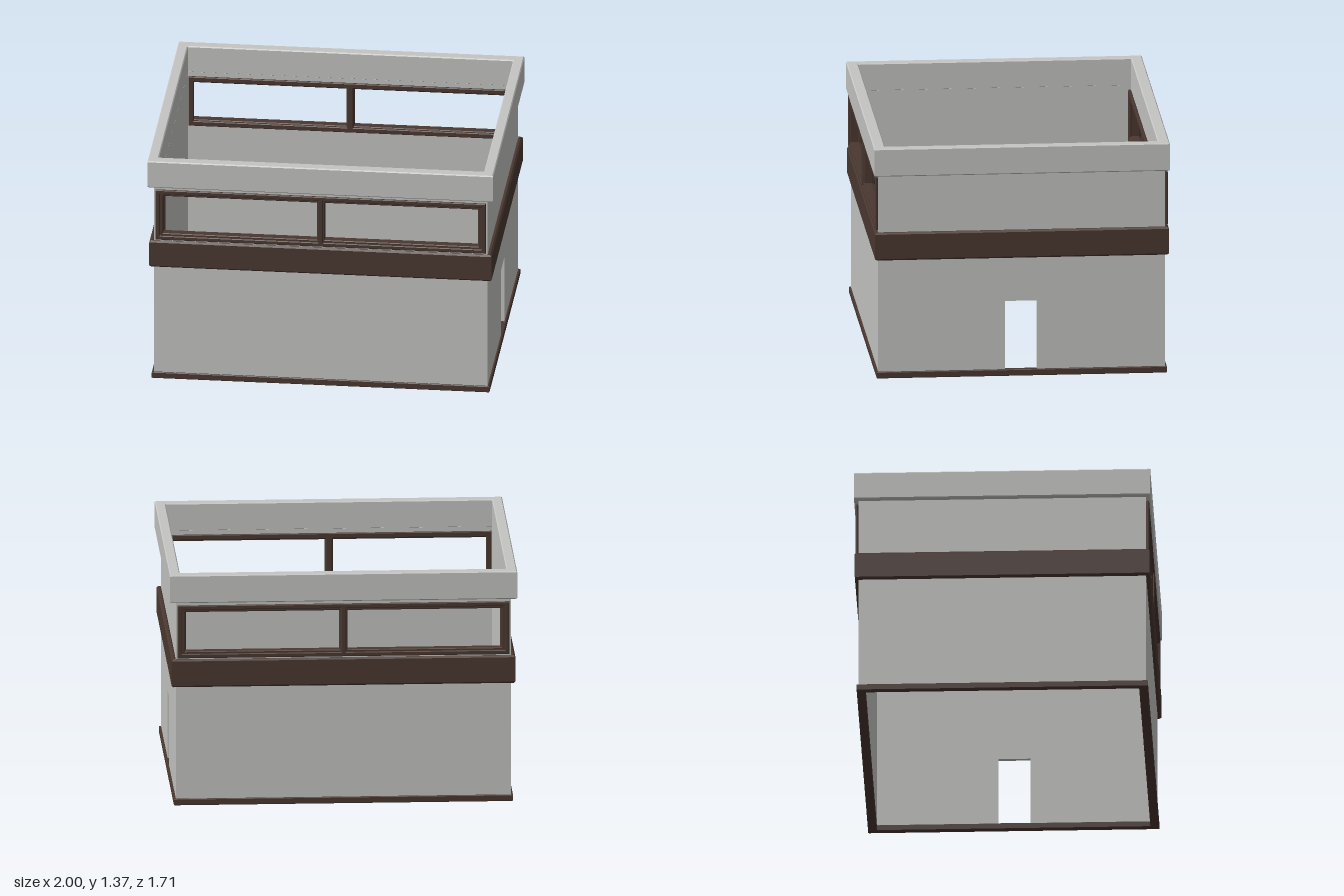
import * as THREE from 'three';

const wallMat = new THREE.MeshStandardMaterial({ color: 0xc4c4c2 });
wallMat.name = 'pale concrete';
const brownMat = new THREE.MeshStandardMaterial({ color: 0x4a3831 });
brownMat.name = 'dark brown trim';

// Rectangle outline from corner (x0, y0) to corner (x1, y1)
function rect(x0, y0, x1, y1, Type = THREE.Shape) {
  return new Type([[x0, y0], [x1, y0], [x1, y1], [x0, y1]].map(p => new THREE.Vector2(...p)));
}

// Extrusion with an optional chamfer that stays inside the outline
function extrude(shape, depth, bevel = 0) {
  const geo = new THREE.ExtrudeGeometry(shape, {
    depth: depth - 2 * bevel, bevelEnabled: bevel > 0, bevelThickness: bevel,
    bevelSize: bevel, bevelOffset: -bevel, bevelSegments: 1,
  });
  return geo.translate(0, 0, bevel);
}

function add(parent, name, geo, mat) {
  const mesh = new THREE.Mesh(geo, mat);
  mesh.name = name;
  parent.add(mesh);
  return mesh;
}

// Horizontal rectangular ring: half sizes outside and inside, bottom and top
function ring(parent, name, mat, [ox, oz], [ix, iz], y0, y1, bevel) {
  const shape = rect(-ox, -oz, ox, oz);
  shape.holes.push(rect(-ix, -iz, ix, iz, THREE.Path));
  const geo = extrude(shape, y1 - y0, bevel).rotateX(-Math.PI / 2).translate(0, y0, 0);
  return add(parent, name, geo, mat);
}

// Frame with two openings around the central mullion
function windowFrame(hx, y0, y1, border, mullion) {
  const shape = rect(-hx, y0, hx, y1);
  for (const s of [-1, 1]) {
    const a = s * mullion, b = s * (hx - border);
    shape.holes.push(rect(Math.min(a, b), y0 + border, Math.max(a, b), y1 - border, THREE.Path));
  }
  return shape;
}

export function createModel() {
  const model = new THREE.Group();
  model.name = 'building';
  const X = 0.965, Z = 0.828, IX = 0.94, IZ = 0.787, Y0 = 0.035, Y1 = 1.21;

  // Long walls with ribbon windows, front and back
  for (const [side, turn] of [['front', 0], ['back', Math.PI]]) {
    const group = new THREE.Group();
    group.name = side + 'Side';
    group.rotation.y = turn;
    model.add(group);

    const wall = rect(-X, Y0, X, Y1);
    wall.holes.push(rect(-0.935, 0.89, 0.935, 1.17, THREE.Path));
    add(group, side + 'Wall', extrude(wall, Z - IZ).translate(0, 0, IZ), wallMat);

    // Outer casing, recessed sash and inner casing
    add(group, side + 'WindowCasing',
      extrude(windowFrame(0.955, 0.875, 1.187, 0.025, 0.014), 0.017, 0.004).translate(0, 0, Z), brownMat);
    add(group, side + 'WindowSash',
      extrude(windowFrame(0.934, 0.891, 1.169, 0.022, 0.022), 0.052, 0.004).translate(0, 0, 0.782), brownMat);
    add(group, side + 'WindowInnerCasing',
      extrude(windowFrame(0.935, 0.877, 1.185, 0.03, 0.018), 0.017, 0.004).translate(0, 0, 0.77), brownMat);
  }

  // Plain left-hand-view wall
  add(model, 'plainSideWall',
    new THREE.BoxGeometry(X - IX, Y1 - Y0, 2 * IZ).translate(-(X + IX) / 2, (Y0 + Y1) / 2, 0), wallMat);

  // Side wall with the open doorway; outline runs along -z
  const doorWall = new THREE.Shape([
    [-IZ, Y0], [-0.097, Y0], [-0.097, 0.443], [0.088, 0.443], [0.088, Y0],
    [IZ, Y0], [IZ, Y1], [-IZ, Y1],
  ].map(p => new THREE.Vector2(...p)));
  add(model, 'doorwayWall',
    extrude(doorWall, X - IX).rotateY(Math.PI / 2).translate(IX, 0, 0), wallMat);

  // Plinth, brown belt and roof parapet
  ring(model, 'plinth', brownMat, [0.977, 0.838], [IX, IZ], 0, 0.038, 0.004);
  ring(model, 'belt', brownMat, [0.99, 0.848], [X - 0.005, Z - 0.005], 0.703, 0.868, 0.01);
  ring(model, 'parapet', wallMat, [1, 0.853], [IX, IZ], 1.205, 1.37, 0.006);
  return model;
}
